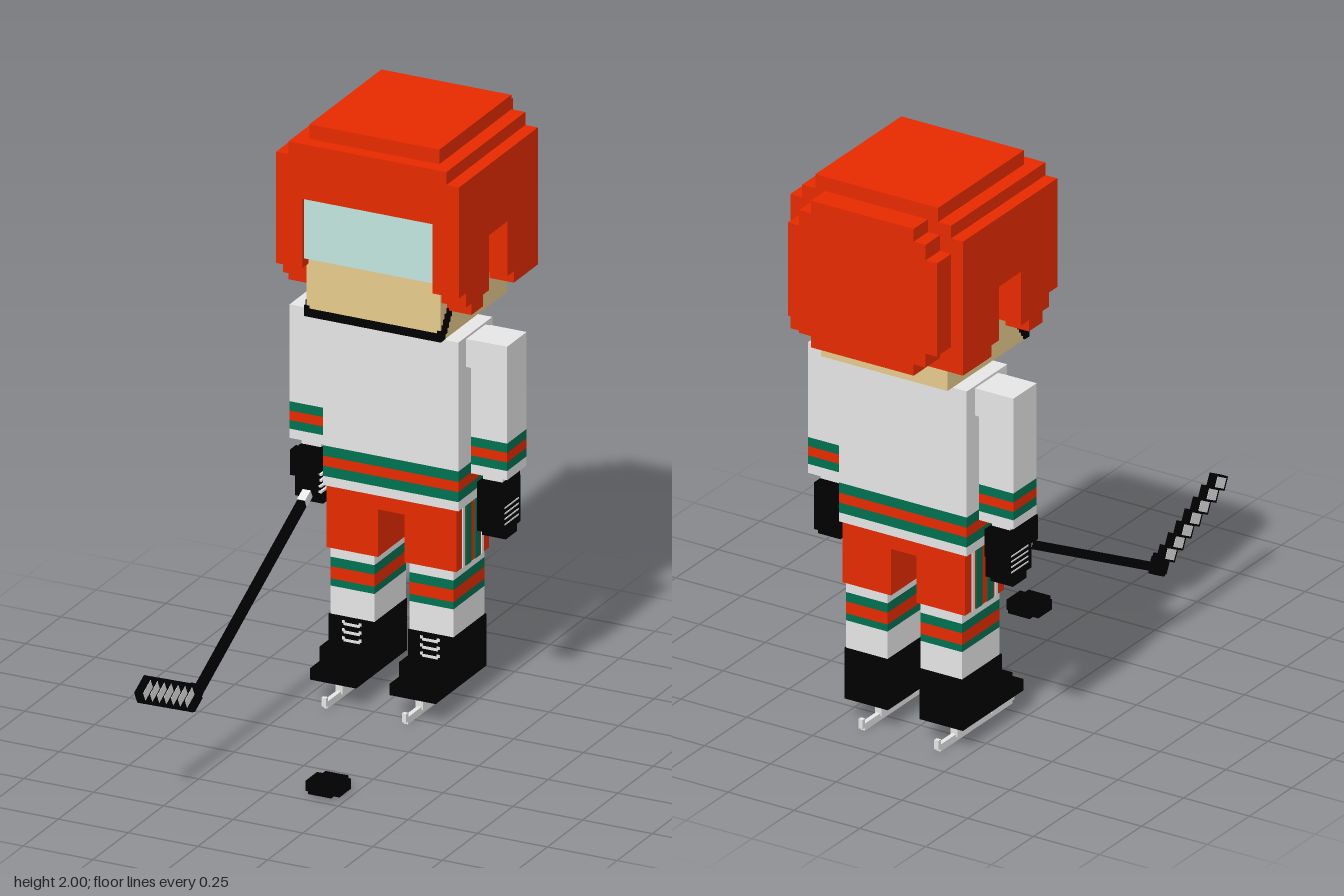
import * as THREE from 'three';

const material = (name, color) => {
  const m = new THREE.MeshStandardMaterial({ color });
  m.name = name;
  return m;
};

export function createModel() {
  const red = material('red', 0xe62a00);
  const green = material('green', 0x00714f);
  const white = material('light grey', 0xe5e5e5);
  const skin = material('skin', 0xe5ca8b);
  const black = material('black', 0x000000);
  const glass = material('visor glass', 0xc0e5dd);

  const model = new THREE.Group();
  model.name = 'hockeyPlayer';
  const body = new THREE.Group();
  body.name = 'player';
  body.position.x = 0.003;
  model.add(body);

  // Box given by its extents on each axis
  function box(parent, name, mat, [x0, x1], [y0, y1], [z0, z1]) {
    const mesh = new THREE.Mesh(new THREE.BoxGeometry(Math.abs(x1 - x0), y1 - y0, z1 - z0), mat);
    mesh.position.set((x0 + x1) / 2, (y0 + y1) / 2, (z0 + z1) / 2);
    mesh.name = name;
    parent.add(mesh);
  }
  // Stack of coloured bands between successive heights
  function bands(parent, name, x, z, heights) {
    [white, green, red, green, white].forEach((m, i) =>
      box(parent, name, m, x, [heights[i], heights[i + 1]], z));
  }

  // Head, neck and visor
  box(body, 'neck', skin, [-0.063, 0.063], [1.28, 1.34], [-0.545, -0.42]);
  box(body, 'head', skin, [-0.24, 0.24], [1.335, 1.78], [-0.71, -0.24]);
  box(body, 'visor', glass, [-0.234, 0.234], [1.55, 1.76], [-0.215, -0.206]);

  // Helmet crown layers
  box(body, 'helmetTop', red, [-0.233, 0.233], [1.94, 2.0], [-0.755, -0.245]);
  box(body, 'helmetCrown', red, [-0.283, 0.283], [1.76, 1.95], [-0.755, -0.196]);
  // Helmet back with stepped corners
  box(body, 'helmetBack', red, [-0.283, 0.283], [1.52, 1.85], [-0.84, -0.71]);
  box(body, 'helmetBack', red, [-0.24, 0.24], [1.47, 1.905], [-0.84, -0.71]);
  box(body, 'helmetBack', red, [-0.195, 0.195], [1.43, 1.95], [-0.84, -0.71]);
  box(body, 'helmetNape', red, [-0.24, 0.24], [1.43, 1.8], [-0.755, -0.7]);
  // Helmet sides with the ear opening
  const sideShape = new THREE.Shape([
    [-0.196, 1.905], [-0.196, 1.52], [-0.245, 1.52], [-0.245, 1.47], [-0.285, 1.47], [-0.285, 1.43],
    [-0.365, 1.43], [-0.365, 1.47], [-0.41, 1.47], [-0.41, 1.66], [-0.54, 1.66], [-0.54, 1.47],
    [-0.585, 1.47], [-0.585, 1.43], [-0.755, 1.43], [-0.755, 1.905],
  ].map(([z, y]) => new THREE.Vector2(z, y)));
  const sideGeometry = new THREE.ExtrudeGeometry(sideShape, { depth: 0.095, bevelEnabled: false });
  sideGeometry.rotateY(-Math.PI / 2);
  for (const outer of [0.328, -0.233]) {
    const side = new THREE.Mesh(sideGeometry, red);
    side.position.x = outer;
    side.name = 'helmetSide';
    body.add(side);
  }

  // Chin strap climbing in steps to the helmet, and ears
  box(body, 'chinStrap', black, [-0.245, 0.245], [1.338, 1.364], [-0.255, -0.232]);
  for (const s of [-1, 1]) {
    for (let i = 0; i < 5; i++) {
      const y = 1.34 + i * 0.016, z = -0.262 - i * 0.0115;
      box(body, 'strapStep', black, [s * 0.23, s * 0.247], [y, y + 0.034], [z, z + 0.028]);
    }
    box(body, 'ear', skin, [s * 0.23, s * 0.265], [1.545, 1.635], [-0.498, -0.45]);
  }

  // Jersey and pants
  bands(body, 'jersey', [-0.243, 0.243], [-0.6, -0.36], [0.705, 0.737, 0.772, 0.807, 0.843, 1.29]);
  box(body, 'pantsWaist', red, [-0.233, 0.233], [0.655, 0.71], [-0.595, -0.365]);

  for (const s of [-1, 1]) {
    const side = new THREE.Group();
    side.name = s > 0 ? 'leftSide' : 'rightSide';
    body.add(side);

    // Arm
    box(side, 'shoulder', white, [s * 0.24, s * 0.265], [1.185, 1.282], [-0.55, -0.415]);
    bands(side, 'sleeve', [s * 0.26, s * 0.39], [-0.553, -0.415],
      [0.82, 0.852, 0.882, 0.915, 0.947, 1.283]);
    box(side, 'cuff', white, [s * 0.29, s * 0.36], [0.79, 0.825], [-0.525, -0.44]);

    // Glove
    box(side, 'glove', black, [s * 0.285, s * 0.362], [0.7, 0.797], [-0.56, -0.41]);
    box(side, 'gloveFingers', black, [s * 0.282, s * 0.37], [0.625, 0.785], [-0.55, -0.415]);
    box(side, 'gloveTips', black, [s * 0.285, s * 0.37], [0.6, 0.63], [-0.525, -0.445]);
    box(side, 'thumb', black, [s * 0.325, s * 0.37], [0.71, 0.797], [-0.42, -0.377]);
    for (let i = 0; i < 4; i++) {
      const y = 0.652 + i * 0.019;
      box(side, 'gloveLine', white, [s * 0.368, s * 0.372], [y, y + 0.005], [-0.535, -0.435]);
    }

    // Pants leg with side stripes
    box(side, 'pantsLeg', red, [s * 0.048, s * 0.233], [0.49, 0.66], [-0.595, -0.365]);
    for (const [mat, z0, z1] of [
      [white, -0.42, -0.405], [green, -0.465, -0.43], [green, -0.53, -0.495], [white, -0.555, -0.54],
    ]) box(side, 'pantsStripe', mat, [s * 0.23, s * 0.236], [0.49, 0.705], [z0, z1]);

    // Sock and boot
    bands(side, 'sock', [s * 0.063, s * 0.22], [-0.592, -0.37],
      [0.25, 0.357, 0.382, 0.424, 0.457, 0.492]);
    box(side, 'boot', black, [s * 0.06, s * 0.225], [0.08, 0.26], [-0.595, -0.363]);
    box(side, 'bootInstep', black, [s * 0.06, s * 0.225], [0.08, 0.17], [-0.37, -0.3]);
    box(side, 'bootToe', black, [s * 0.06, s * 0.225], [0.08, 0.12], [-0.31, -0.235]);
    for (const y of [0.177, 0.205, 0.233]) {
      box(side, 'lace', white, [s * 0.112, s * 0.168], [y, y + 0.009], [-0.365, -0.36]);
      for (const x of [0.105, 0.165])
        box(side, 'laceEnd', white, [s * x, s * (x + 0.01)], [y + 0.006, y + 0.016], [-0.365, -0.36]);
    }

    // Skate blade
    const bladeX = s > 0 ? 0.133 : -0.155;
    const blade = [bladeX - 0.008, bladeX + 0.008];
    const post = [bladeX - 0.013, bladeX + 0.013];
    box(side, 'blade', white, blade, [0.005, 0.03], [-0.63, -0.205]);
    box(side, 'bladeFront', white, blade, [0.015, 0.045], [-0.207, -0.192]);
    box(side, 'bladeBack', white, blade, [0.015, 0.048], [-0.643, -0.628]);
    for (const z of [-0.315, -0.523])
      box(side, 'bladePost', white, post, [0.02, 0.085], [z - 0.015, z + 0.015]);
  }

  // Stick, built along its shaft axis and tilted as a whole
  const stick = new THREE.Group();
  stick.name = 'stick';
  stick.position.set(-0.292, 0.255, 0.455);
  stick.rotation.x = 0.473;
  model.add(stick);
  box(stick, 'shaft', black, [-0.013, 0.013], [-0.014, 0.014], [-1.04, 0.02]);
  box(stick, 'gripTape', white, [-0.0145, 0.0145], [-0.0155, 0.0155], [-0.91, -0.865]);
  box(stick, 'heel', black, [-0.0135, 0.0135], [-0.024, 0.045], [-0.032, 0.03]);
  for (let i = 0; i < 8; i++) {
    const y = 0.008 + i * 0.0425, z = i * 0.0335;
    box(stick, 'stickBlade', black, [-0.013, 0.013], [y - 0.024, y + 0.024], [z - 0.039, z + 0.039]);
    if (i > 0)
      box(stick, 'bladeTape', white, [-0.0142, 0.0142], [y - 0.0175, y + 0.0175], [z - 0.029, z + 0.029]);
  }
  // Finger lines on the hand gripping the stick
  for (let i = 0; i < 4; i++) {
    const y = 0.65 + i * 0.02;
    box(body, 'fingerLine', white, [-0.285, -0.274], [y, y + 0.007], [-0.535, -0.412]);
  }

  // Puck with stepped corners
  const puck = new THREE.Group();
  puck.name = 'puck';
  model.add(puck);
  box(puck, 'puckWide', black, [0.105, 0.227], [0.01, 0.045], [0.363, 0.445]);
  box(puck, 'puckLong', black, [0.125, 0.207], [0.01, 0.045], [0.343, 0.465]);

  return model;
}
